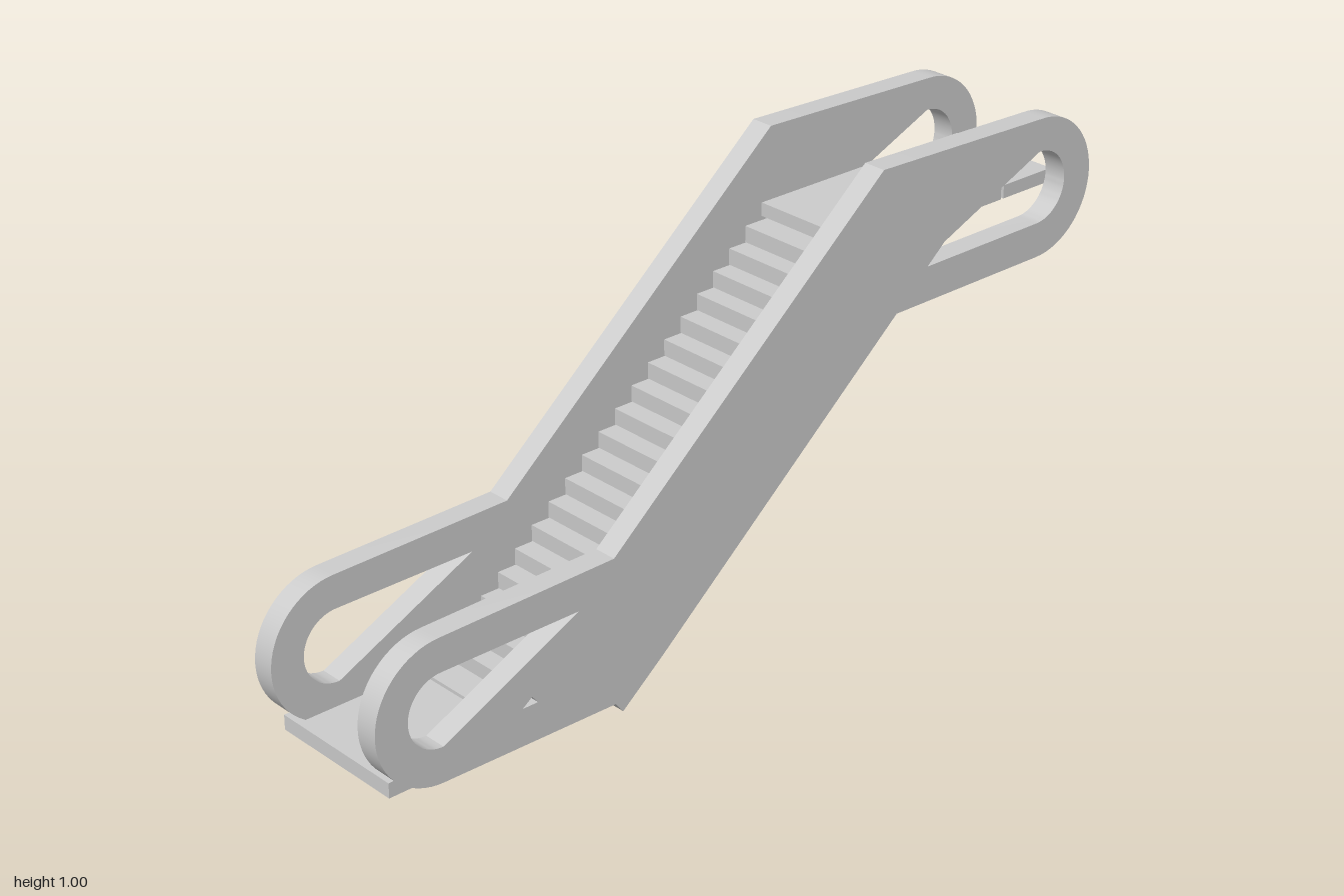
import * as THREE from 'three';
import { toCreasedNormals } from 'three/addons/utils/BufferGeometryUtils.js';

const INNER = 0.1415; // half width between the side panels
const PANEL = 0.0545; // panel thickness

export function createModel() {
  const model = new THREE.Group();
  model.name = 'escalator';
  const material = new THREE.MeshStandardMaterial({ color: 0xcccccc });

  const add = (name, geometry) => {
    const mesh = new THREE.Mesh(geometry, material);
    mesh.name = name;
    model.add(mesh);
    return mesh;
  };

  // Box given by its limits on each axis
  const addBox = (name, x0, x1, y0, y1, z0, z1) =>
    add(name, new THREE.BoxGeometry(x1 - x0, y1 - y0, z1 - z0))
      .position.set((x0 + x1) / 2, (y0 + y1) / 2, (z0 + z1) / 2);

  // Side profile, drawn with z across and y up: sloped panel with a handrail loop at each end
  const side = new THREE.Shape();
  side.moveTo(0.37, 0.0);
  side.lineTo(0.39, 0.025);
  side.absarc(0.836, 0.193, 0.164, -Math.PI / 2, Math.PI / 2, false);
  side.lineTo(0.39, 0.365);
  side.lineTo(-0.355, 1.0);
  side.absarc(-0.838, 0.825, 0.162, Math.PI / 2, Math.PI * 1.5, false);
  side.lineTo(-0.405, 0.66);
  side.lineTo(0.26, 0.09);

  // Opening in the lower handrail loop
  const lowerHole = new THREE.Path();
  lowerHole.moveTo(0.68, 0.111);
  lowerHole.absarc(0.836, 0.195, 0.084, -Math.PI / 2, Math.PI / 2, false);
  lowerHole.lineTo(0.485, 0.28);
  lowerHole.closePath();

  // Opening in the upper handrail loop
  const upperHole = new THREE.Path();
  upperHole.moveTo(-0.43, 0.92);
  upperHole.absarc(-0.835, 0.828, 0.084, Math.PI / 2, Math.PI * 1.5, false);
  upperHole.lineTo(-0.495, 0.742);
  upperHole.lineTo(-0.545, 0.785);
  upperHole.closePath();

  // Small notch at the foot of the slope
  const notch = new THREE.Path();
  notch.moveTo(0.635, 0.114);
  notch.lineTo(0.61, 0.132);
  notch.lineTo(0.595, 0.114);
  notch.closePath();
  side.holes.push(lowerHole, upperHole, notch);

  const extruded = new THREE.ExtrudeGeometry(side, { depth: PANEL, bevelEnabled: false, curveSegments: 16 });
  extruded.rotateY(-Math.PI / 2);
  const panel = toCreasedNormals(extruded, 0.45);
  add('leftSidePanel', panel).position.x = INNER + PANEL;
  add('rightSidePanel', panel).position.x = -INNER;

  // Steps: overlapping in depth, with thin gaps in height
  const count = 20;
  for (let i = 0; i < count - 1; i++) {
    const top = 0.09 + i * 0.0389;
    const front = 0.56 - i * 0.0468;
    addBox('step' + (i + 1), -INNER, INNER, top - 0.0375, top, front - 0.085, front);
  }

  // Upper landing
  for (const [z0, z1] of [[-0.62, -0.33], [-0.777, -0.62], [-0.935, -0.785]])
    addBox('upperLanding', -INNER, INNER, 0.8, 0.831, z0, z1);

  // Lower landing, the front plate reaching under the handrails
  addBox('lowerLandingFront', -0.187, 0.158, 0.02, 0.055, 0.64, 0.945);
  addBox('lowerLandingBack', -0.187, 0.158, 0.02, 0.055, 0.48, 0.632);

  return model;
}
